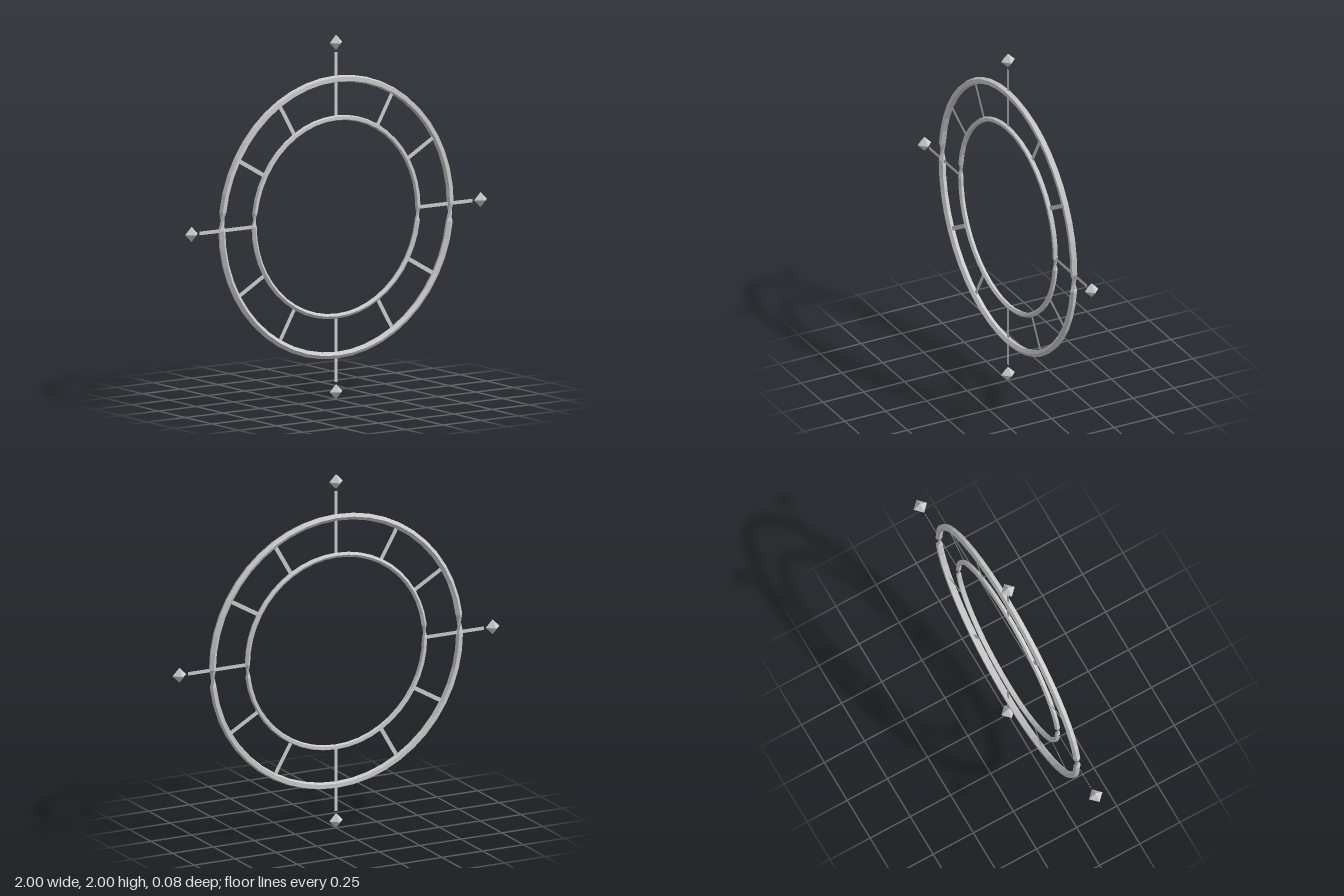
import * as THREE from 'three';

const CENTRE_Y = 1;
const SIDES = 5;

// Ring swept from a five-sided section; the section turns half way round
// on the lower half, so the tube pinches once at each side.
function ringGeometry(radius, tube, segments) {
  const positions = [];
  const indices = [];
  for (let i = 0; i < segments; i++) {
    const a = (i / segments) * Math.PI * 2;
    const turn = i < segments / 2 ? -Math.PI / 2 : Math.PI / 2;
    for (let j = 0; j < SIDES; j++) {
      const b = (j / SIDES) * Math.PI * 2 + turn;
      const r = radius + Math.cos(b) * tube;
      positions.push(Math.cos(a) * r, Math.sin(a) * r, Math.sin(b) * tube);
    }
  }
  for (let i = 0; i < segments; i++) {
    for (let j = 0; j < SIDES; j++) {
      const i2 = (i + 1) % segments;
      const j2 = (j + 1) % SIDES;
      const p = i * SIDES + j, q = i2 * SIDES + j;
      const r = i2 * SIDES + j2, s = i * SIDES + j2;
      indices.push(p, q, r, p, r, s);
    }
  }
  const geometry = new THREE.BufferGeometry();
  geometry.setAttribute('position', new THREE.Float32BufferAttribute(positions, 3));
  geometry.setIndex(indices);
  const flat = geometry.toNonIndexed();
  flat.computeVertexNormals();
  return flat;
}

export function createModel() {
  const model = new THREE.Group();
  model.name = 'ringOrnament';
  const metal = new THREE.MeshStandardMaterial({ color: 0xcccccc });
  metal.name = 'light grey metal';
  metal.flatShading = true;
  metal.side = THREE.DoubleSide;

  const wheel = new THREE.Group();
  wheel.name = 'wheel';
  wheel.position.y = CENTRE_Y;
  model.add(wheel);

  const add = (name, geometry, parent = wheel) => {
    const mesh = new THREE.Mesh(geometry, metal);
    mesh.name = name;
    parent.add(mesh);
    return mesh;
  };

  // Two concentric rings
  add('outerRing', ringGeometry(0.757, 0.02, 48));
  add('innerRing', ringGeometry(0.543, 0.015, 48));

  // Twelve flat spokes; every third one is longer and points to a diamond
  for (let i = 0; i < 12; i++) {
    const arm = new THREE.Group();
    arm.name = 'arm' + (i + 1);
    arm.rotation.z = (i / 12) * Math.PI * 2;
    wheel.add(arm);

    const long = i % 3 === 0;
    const start = 0.543;
    const end = long ? 0.905 : 0.757;
    const spoke = add(long ? 'longSpoke' : 'shortSpoke',
      new THREE.PlaneGeometry(end - start, long ? 0.02 : 0.023), arm);
    spoke.position.x = (start + end) / 2;

    if (long) {
      const diamond = add('diamond', new THREE.OctahedronGeometry(0.042), arm);
      diamond.position.x = 0.958;
    }
  }
  return model;
}
